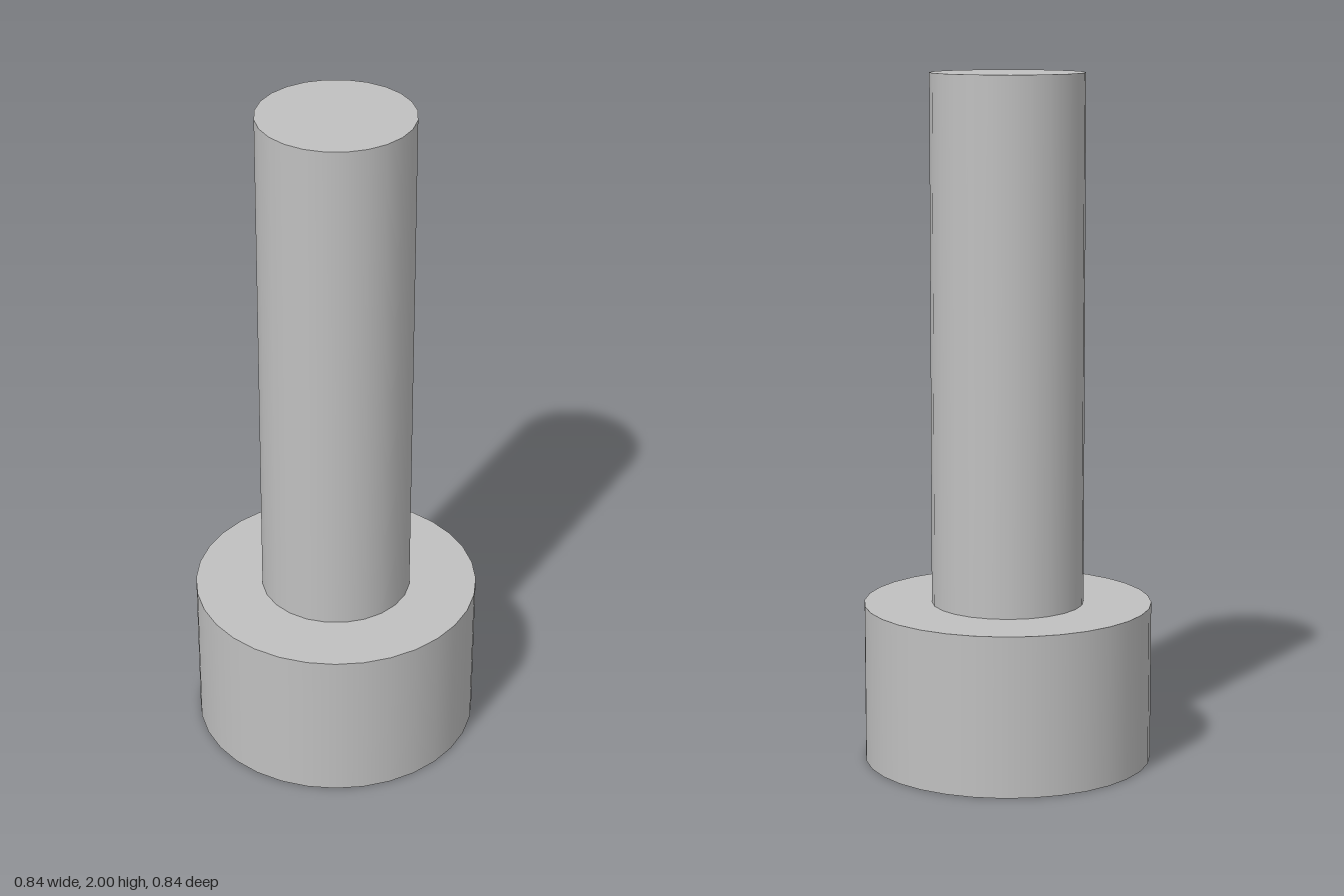
import * as THREE from 'three';

const HEAD_R = 0.42, HEAD_H = 0.465, HEAD_SIDES = 32;
const SHANK_R = 0.222, SHANK_SIDES = 24, TOTAL_H = 2;
const SOCKET_R = 0.22, SOCKET_DEPTH = 0.23;

// corners of a regular polygon, the first one on +x
function polygon(radius, sides) {
  return Array.from({ length: sides }, (_, i) => {
    const a = (i / sides) * Math.PI * 2;
    return new THREE.Vector2(Math.cos(a) * radius, Math.sin(a) * radius);
  });
}

// horizontal face with an optional polygonal hole; dir is 1 for up, -1 for down
function flatFace(outer, hole, y, dir) {
  const shape = new THREE.Shape(outer);
  if (hole) shape.holes.push(new THREE.Path(hole));
  return new THREE.ShapeGeometry(shape).rotateX(-dir * Math.PI / 2).translate(0, y, 0);
}

// open upright tube wall between two heights
function wall(radius, sides, y0, y1) {
  return new THREE.CylinderGeometry(radius, radius, y1 - y0, sides, 1, true, Math.PI / 2)
    .translate(0, (y0 + y1) / 2, 0);
}

// flat-sided wall that faces the axis
function inwardWall(radius, sides, y0, y1) {
  const geo = wall(radius, sides, y0, y1);
  geo.index.array.reverse();
  const flat = geo.toNonIndexed();
  flat.computeVertexNormals();
  return flat;
}

export function createModel() {
  const steel = new THREE.MeshStandardMaterial({ color: 0xc0c0c0 });
  steel.name = 'steelGrey';

  const model = new THREE.Group();
  model.name = 'socketHeadBolt';
  const add = (parent, name, geometry) => {
    const mesh = new THREE.Mesh(geometry, steel);
    mesh.name = name;
    parent.add(mesh);
  };

  const headRim = polygon(HEAD_R, HEAD_SIDES);
  const shankRim = polygon(SHANK_R, SHANK_SIDES);
  const hexRim = polygon(SOCKET_R, 6);

  // head
  const head = new THREE.Group();
  head.name = 'head';
  add(head, 'headSide', wall(HEAD_R, HEAD_SIDES, 0, HEAD_H));
  add(head, 'headShoulder', flatFace(headRim, shankRim, HEAD_H, 1));
  add(head, 'headUnderside', flatFace(headRim, hexRim, 0, -1));

  // hexagonal recess in the underside of the head
  const socket = new THREE.Group();
  socket.name = 'hexSocket';
  add(socket, 'socketWalls', inwardWall(SOCKET_R, 6, 0, SOCKET_DEPTH));
  add(socket, 'socketFloor', flatFace(hexRim, null, SOCKET_DEPTH, -1));

  // shank
  const shank = new THREE.Group();
  shank.name = 'shank';
  add(shank, 'shankSide', wall(SHANK_R, SHANK_SIDES, HEAD_H, TOTAL_H));
  add(shank, 'shankEnd', flatFace(shankRim, null, TOTAL_H, 1));

  model.add(head, socket, shank);
  return model;
}
